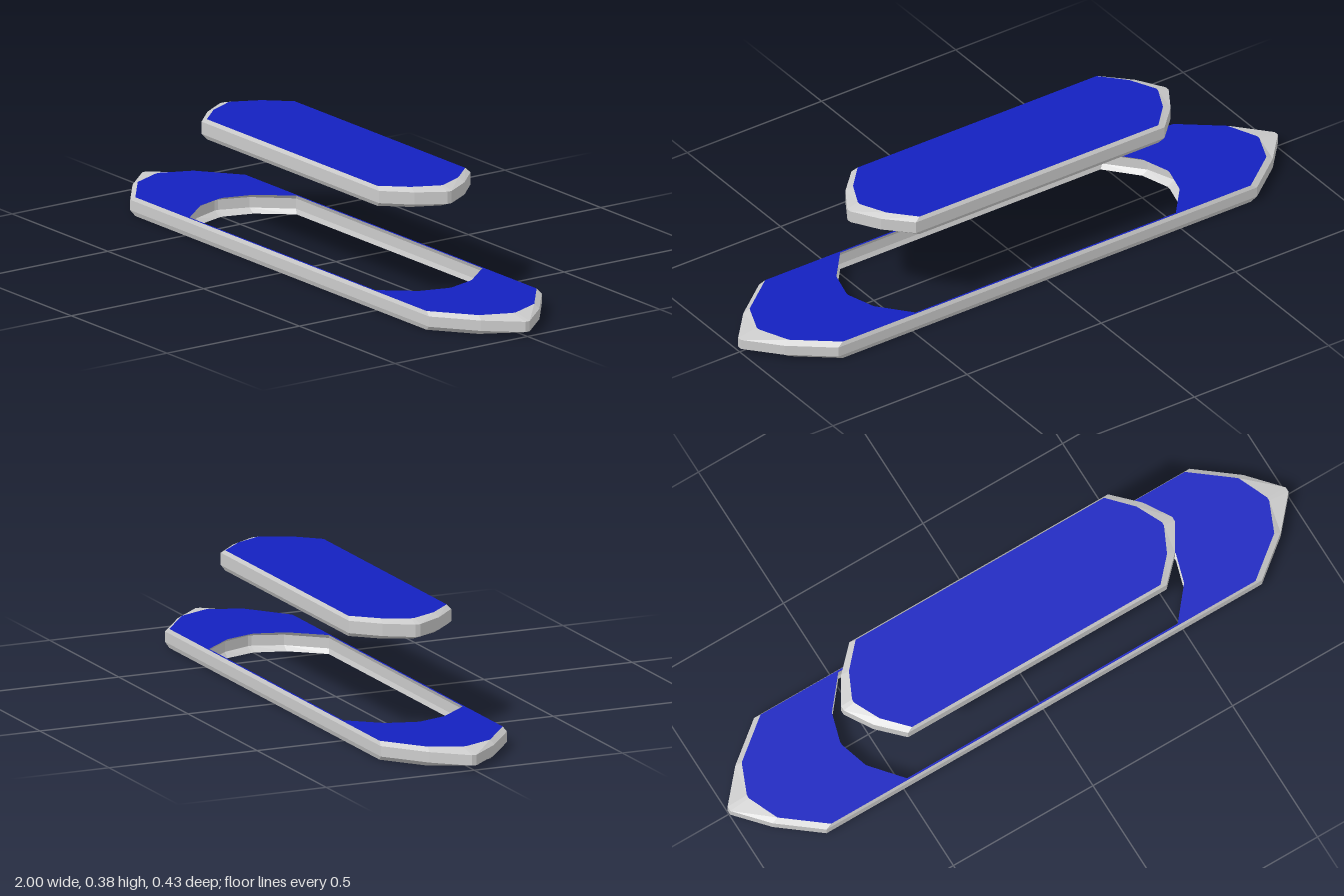
import * as THREE from 'three';

const grey = new THREE.MeshStandardMaterial({ color: 0xcccccc, flatShading: true });
const blue = new THREE.MeshStandardMaterial({ color: 0x1420c0, flatShading: true });

// Mirror a quarter outline (from the tip to the long side) into a closed counter-clockwise loop
function outline(quarter) {
  const half = [...quarter, ...quarter.map(([x, z]) => [-x, z]).reverse()];
  return [...half, ...half.map(([x, z]) => [x, -z]).reverse()].map(([x, z]) => new THREE.Vector2(x, z));
}

// Faceted wall through stacked loops, listed from the bottom up
function wall(loops, heights, inward) {
  const p = [];
  for (let k = 0; k + 1 < loops.length; k++) {
    const n = loops[k].length;
    for (let i = 0; i < n; i++) {
      const j = (i + 1) % n;
      const at = (level, q) => [loops[level][q].x, heights[level], -loops[level][q].y];
      const [a, b, c, d] = [at(k, i), at(k, j), at(k + 1, j), at(k + 1, i)];
      p.push(...(inward ? [a, c, b, a, d, c] : [a, b, c, a, c, d]).flat());
    }
  }
  const g = new THREE.BufferGeometry();
  g.setAttribute('position', new THREE.Float32BufferAttribute(p, 3));
  g.computeVertexNormals();
  return g;
}

// Flat face at height y, facing up or down
function cap(loop, hole, y, up) {
  const shape = new THREE.Shape(loop);
  if (hole) shape.holes.push(new THREE.Path(hole));
  return new THREE.ShapeGeometry(shape).rotateX(up ? -Math.PI / 2 : Math.PI / 2).translate(0, y, 0);
}

// Chamfered plate: grey rim and underside, blue top, optional opening
function plate(name, widest, inset, heights, holeWidest, holeInset) {
  const group = new THREE.Group();
  group.name = name;
  const add = (part, geometry, material) => {
    const mesh = new THREE.Mesh(geometry, material);
    mesh.name = part;
    group.add(mesh);
  };
  const big = outline(widest), small = outline(inset);
  const hole = holeInset && outline(holeInset);
  add('rim', wall([small, big, big, small], heights), grey);
  add('topFace', cap(small, hole, heights[3], true), blue);
  add('underside', cap(small, hole, heights[0], false), grey);
  if (hole) {
    const wide = outline(holeWidest);
    add('openingWall', wall([hole, wide, wide, hole], heights, true), grey);
  }
  return group;
}

export function createModel() {
  const model = new THREE.Group();
  model.name = 'plateAndInsert';
  model.add(
    // Long base frame with an opening for the insert
    plate('baseFrame',
      [[1, 0.008], [0.91, 0.11], [0.78, 0.213]],
      [[0.932, 0.006], [0.89, 0.105], [0.76, 0.208]],
      [0, 0.015, 0.048, 0.06],
      [[0.625, 0.006], [0.59, 0.1], [0.495, 0.207]],
      [[0.598, 0.006], [0.57, 0.1], [0.485, 0.202]]),
    // Insert floating above the opening
    plate('insert',
      [[0.593, 0.008], [0.54, 0.095], [0.463, 0.173]],
      [[0.555, 0.006], [0.515, 0.09], [0.445, 0.166]],
      [0.313, 0.327, 0.366, 0.377])
  );
  return model;
}
